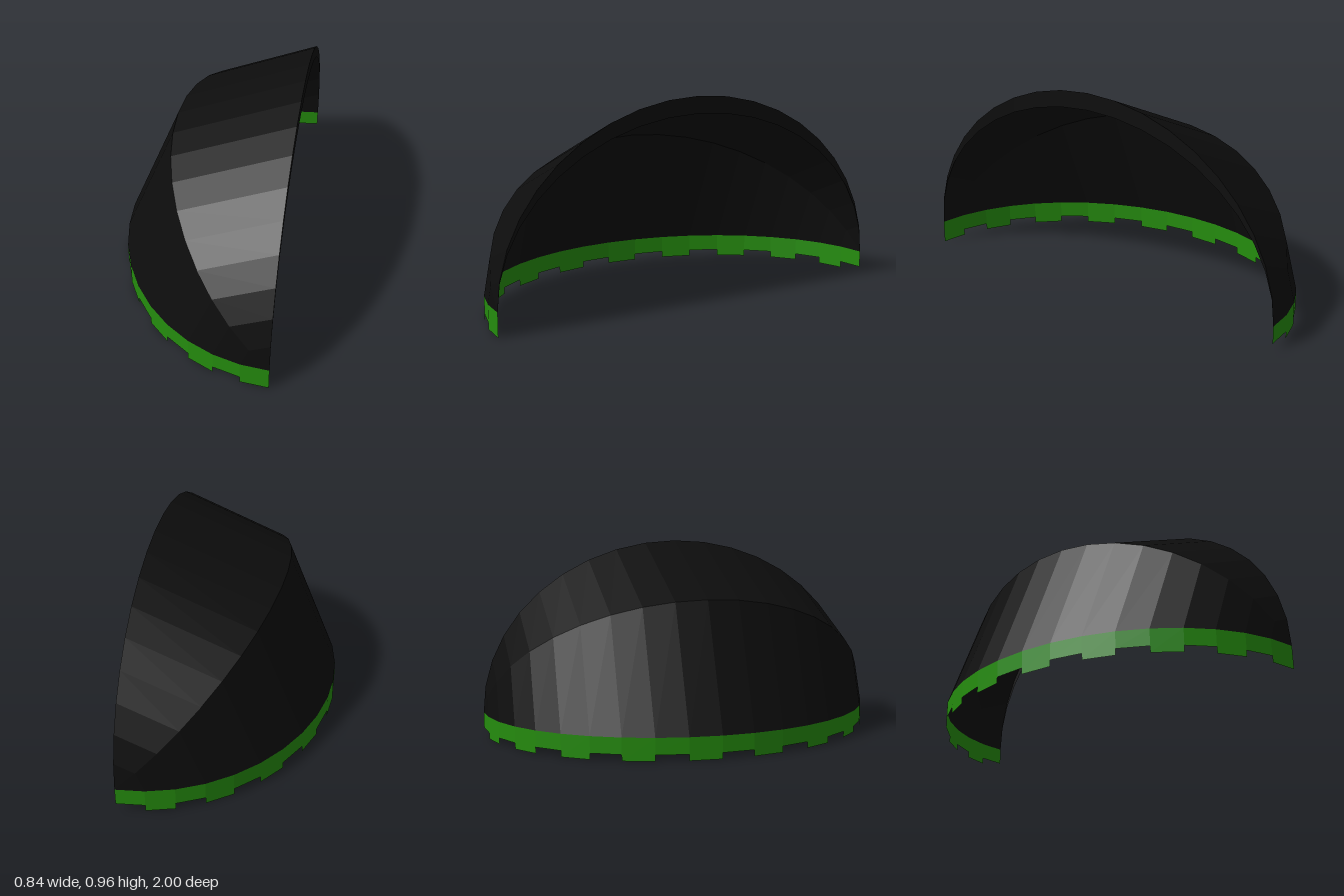
import * as THREE from 'three';

const SEGMENTS = 20;      // facets around the half ellipse
const HINGE_X = 0.42;     // wall plane where all ribs meet
const HINGE_Y = 0.11;

// Point on a half-elliptical rib: the apex is offset (dx, dy) from the hinge line
function ribPoint(dx, dy, i) {
  const t = (i / SEGMENTS) * Math.PI;
  const s = Math.sin(t);
  return [HINGE_X + dx * s, HINGE_Y + dy * s, Math.cos(t)];
}

// Faceted strip between two edges, each given as a function of the facet index
function strip(name, material, edgeA, edgeB) {
  const pos = [];
  for (let i = 0; i < SEGMENTS; i++) {
    const a0 = edgeA(i), a1 = edgeA(i + 1);
    const b0 = edgeB(i), b1 = edgeB(i + 1);
    pos.push(...a0, ...b0, ...b1, ...a0, ...b1, ...a1);
  }
  return toMesh(name, material, pos);
}

function toMesh(name, material, pos) {
  const geo = new THREE.BufferGeometry();
  geo.setAttribute('position', new THREE.Float32BufferAttribute(pos, 3));
  geo.computeVertexNormals();
  const mesh = new THREE.Mesh(geo, material);
  mesh.name = name;
  return mesh;
}

export function createModel() {
  const group = new THREE.Group();
  group.name = 'awning';

  const cloth = new THREE.MeshStandardMaterial({
    color: 0x0d0d0d, flatShading: true, side: THREE.DoubleSide });
  const trim = new THREE.MeshStandardMaterial({
    color: 0x258c0e, flatShading: true, side: THREE.DoubleSide });

  // Ribs of the folding canopy
  const wallRib = i => ribPoint(0, 0.85, i);
  const wallRibInner = i => ribPoint(0, 0.77, i);
  const middleRib = i => ribPoint(-0.6, 0.6, i);
  const lowerRib = i => ribPoint(-0.84, 0, i);

  // Cloth panels between the ribs, and the flat rim against the wall
  group.add(strip('upperPanel', cloth, wallRib, middleRib));
  group.add(strip('lowerPanel', cloth, middleRib, lowerRib));
  group.add(strip('wallRim', cloth, wallRibInner, wallRib));

  // Hanging valance: a band with a tab under every other facet
  const pos = [];
  for (let i = 0; i < SEGMENTS; i++) {
    const [x0, y, z0] = lowerRib(i);
    const [x1, , z1] = lowerRib(i + 1);
    const bottom = i % 2 === 0 ? 0 : 0.03;
    pos.push(x0, y, z0, x0, bottom, z0, x1, bottom, z1);
    pos.push(x0, y, z0, x1, bottom, z1, x1, y, z1);
  }
  group.add(toMesh('valance', trim, pos));

  return group;
}
